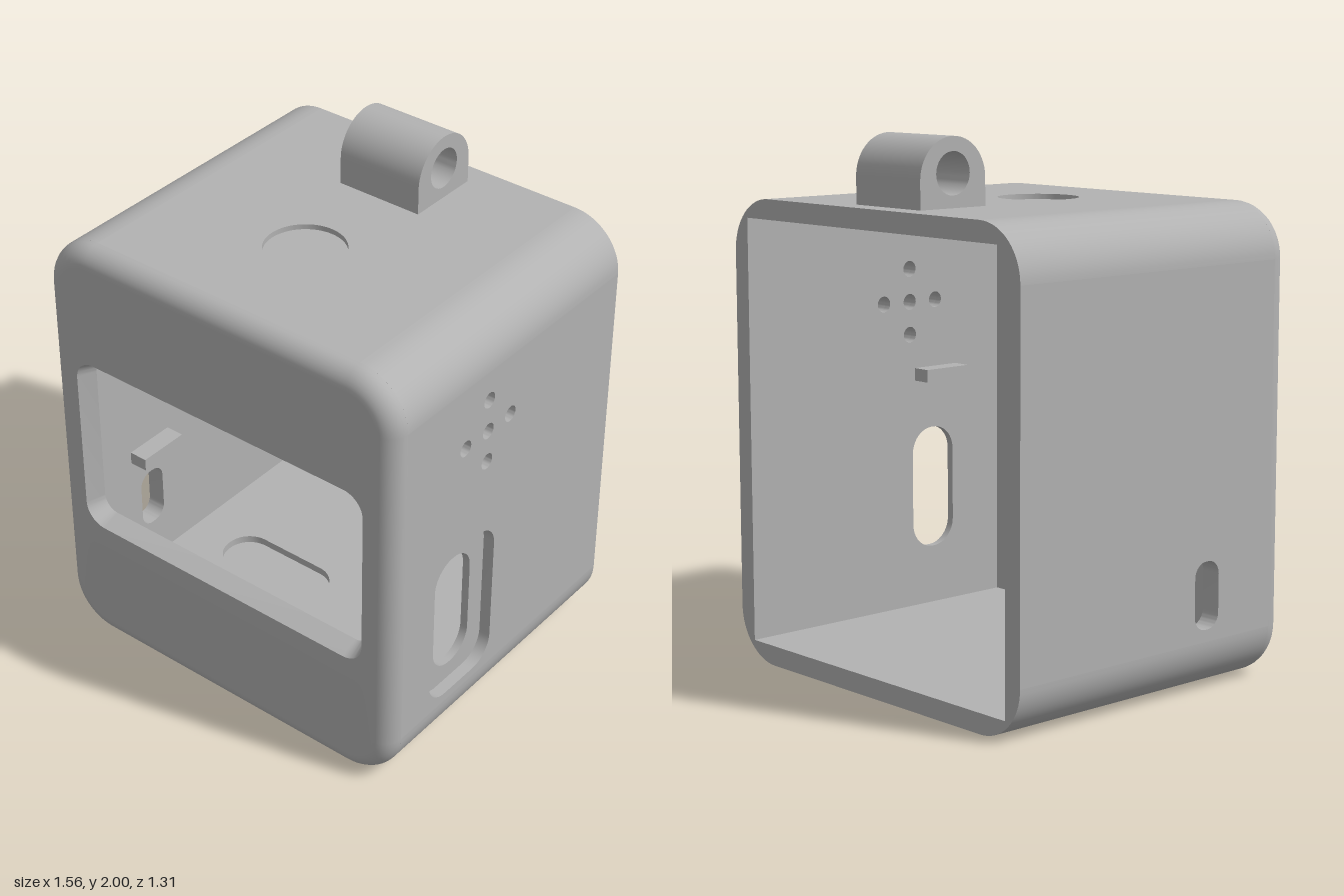
import * as THREE from 'three';
import { toCreasedNormals } from 'three/addons/utils/BufferGeometryUtils.js';

const W = 0.78, H = 1.75, D = 0.655, R = 0.2, WALL = 0.075, FRONT = D - WALL;
const V = (x, y, z) => new THREE.Vector3(x, y, z);

// Outline of a rounded rectangle, counter-clockwise, same point count for any size
function roundRect(cx, cy, w, h, r, seg = 12) {
  const pts = [];
  [[1, 1], [-1, 1], [-1, -1], [1, -1]].forEach(([sx, sy], q) => {
    for (let i = 0; i <= seg; i++) {
      const a = (q + i / seg) * Math.PI / 2;
      pts.push(new THREE.Vector2(
        cx + sx * (w / 2 - r) + r * Math.cos(a),
        cy + sy * (h / 2 - r) + r * Math.sin(a)));
    }
  });
  return pts;
}

const circle = (cx, cy, r) => new THREE.Path().absarc(cx, cy, r, 0, Math.PI * 2).getPoints(16);

function extrude(outline, holes, depth) {
  const shape = new THREE.Shape(outline);
  shape.holes = holes.map(h => new THREE.Path(h));
  return toCreasedNormals(
    new THREE.ExtrudeGeometry(shape, { depth, bevelEnabled: false, curveSegments: 16 }), 0.6);
}

const rect = (u0, u1, v0, v1) => [[u0, v0], [u1, v0], [u1, v1], [u0, v1]].map(p => new THREE.Vector2(...p));

// Wall in the z-y plane, growing towards -x from the given x
function sideWall(x, depth, holes) {
  const g = extrude(rect(-D, FRONT, R, H - R), holes, depth);
  g.applyMatrix4(new THREE.Matrix4().makeBasis(V(0, 0, 1), V(0, 1, 0), V(-1, 0, 0)));
  return g.translate(x, 0, 0);
}

// Wall in the x-z plane, growing downwards from the given y
function flatWall(y, depth, holes) {
  const g = extrude(rect(-W + R, W - R, -D, FRONT), holes, depth);
  g.applyMatrix4(new THREE.Matrix4().makeBasis(V(1, 0, 0), V(0, 0, 1), V(0, -1, 0)));
  return g.translate(0, y, 0);
}

// Front panel: closed loft over the filleted rim, face, tapered window and back
function frontPanel() {
  const rings = [];
  for (let i = 0; i <= 8; i++) {
    const a = i / 8 * Math.PI / 2, inset = WALL * (1 - Math.cos(a));
    rings.push([roundRect(0, H / 2, 2 * (W - inset), H - 2 * inset, R - inset), FRONT + WALL * Math.sin(a)]);
  }
  rings.push([roundRect(0, 0.9, 1.31, 0.74, 0.085), D]);
  rings.push([roundRect(0, 0.9, 1.26, 0.685, 0.06), FRONT]);
  rings.push(rings[0]);
  const pos = [], idx = [], n = rings[0][0].length;
  rings.forEach(([pts, z]) => pts.forEach(p => pos.push(p.x, p.y, z)));
  for (let r = 0; r < rings.length - 1; r++) {
    for (let i = 0; i < n; i++) {
      const a = r * n + i, b = r * n + (i + 1) % n;
      idx.push(a, b, b + n, a, b + n, a + n);
    }
  }
  const g = new THREE.BufferGeometry();
  g.setAttribute('position', new THREE.Float32BufferAttribute(pos, 3));
  g.setIndex(idx);
  return toCreasedNormals(g, 0.6);
}

// Long corner: round outside, square inside
function cornerGeometry(sx, top) {
  const cx = sx * (W - R), cy = top ? H - R : R, sy = top ? 1 : -1, pts = [];
  for (let i = 0; i <= 16; i++) {
    const a = i / 16 * Math.PI / 2;
    pts.push(new THREE.Vector2(cx + sx * R * Math.cos(a), cy + sy * R * Math.sin(a)));
  }
  const inner = R - WALL;
  pts.push(new THREE.Vector2(cx, cy + sy * inner));
  pts.push(new THREE.Vector2(cx + sx * inner, cy + sy * inner));
  pts.push(new THREE.Vector2(cx + sx * inner, cy));
  return extrude(pts, [], D + FRONT).translate(0, 0, -D);
}

export function createModel() {
  const model = new THREE.Group();
  model.name = 'enclosure';
  const grey = new THREE.MeshStandardMaterial({ color: 0xb2b2b2 });
  grey.name = 'plain grey';
  const add = (name, geometry) => {
    const mesh = new THREE.Mesh(geometry, grey);
    mesh.name = name;
    model.add(mesh);
  };

  add('frontPanel', frontPanel());
  for (const sx of [-1, 1]) {
    for (const top of [false, true]) {
      add((top ? 'top' : 'bottom') + (sx > 0 ? 'Left' : 'Right') + 'Corner', cornerGeometry(sx, top));
    }
  }

  // Left wall: sound holes and a slot in a recess
  const sound = [[0.12, 1.3], [0.25, 1.3], [-0.01, 1.3], [0.12, 1.43], [0.12, 1.17]]
    .map(([z, y]) => circle(z, y, 0.031));
  const recess = 0.045;
  add('leftWallOuter', sideWall(W, recess, [...sound, roundRect(0.235, 0.55, 0.37, 0.63, 0.1)]));
  add('leftWallInner', sideWall(W - recess, WALL - recess, [...sound, roundRect(0.235, 0.548, 0.208, 0.485, 0.1)]));

  // Right wall: one small slot
  add('rightWall', sideWall(-W + WALL, WALL, [roundRect(0.248, 0.37, 0.122, 0.25, 0.055)]));

  // Floor: recessed slot
  add('floorInner', flatWall(WALL, WALL - recess, [roundRect(-0.28, 0.01, 0.485, 0.208, 0.1)]));
  add('floorOuter', flatWall(recess, recess, [roundRect(-0.28, 0.01, 0.63, 0.37, 0.1)]));

  // Roof: round dimple outside, square pocket inside
  add('roofOuter', flatWall(H, 0.02, [new THREE.Path().absarc(0, 0.15, 0.15, 0, Math.PI * 2).getPoints(48)]));
  add('roofMiddle', flatWall(H - 0.02, 0.02, []));
  add('roofInner', flatWall(H - 0.04, WALL - 0.04, [rect(-0.36, 0.36, -0.02, 0.43)]));

  // Inner support ledges
  for (const [name, x, y] of [['leftLedge', 0.6675, 1.01], ['rightLedge', -0.6675, 0.62]]) {
    add(name, new THREE.BoxGeometry(0.075, 0.05, 0.21).translate(x, y, 0.25));
  }

  // Hanging loop
  const loop = new THREE.Shape();
  loop.moveTo(-0.149, -0.11).lineTo(0.149, -0.11).lineTo(0.149, 0);
  loop.absarc(0, 0, 0.149, 0, Math.PI, false);
  const lug = extrude(loop.getPoints(20), [circle(0, 0.02, 0.077)], 0.35);
  add('hangingLoop', lug.rotateY(-Math.PI / 2).translate(0.175, 1.851, -0.416));

  return model;
}
